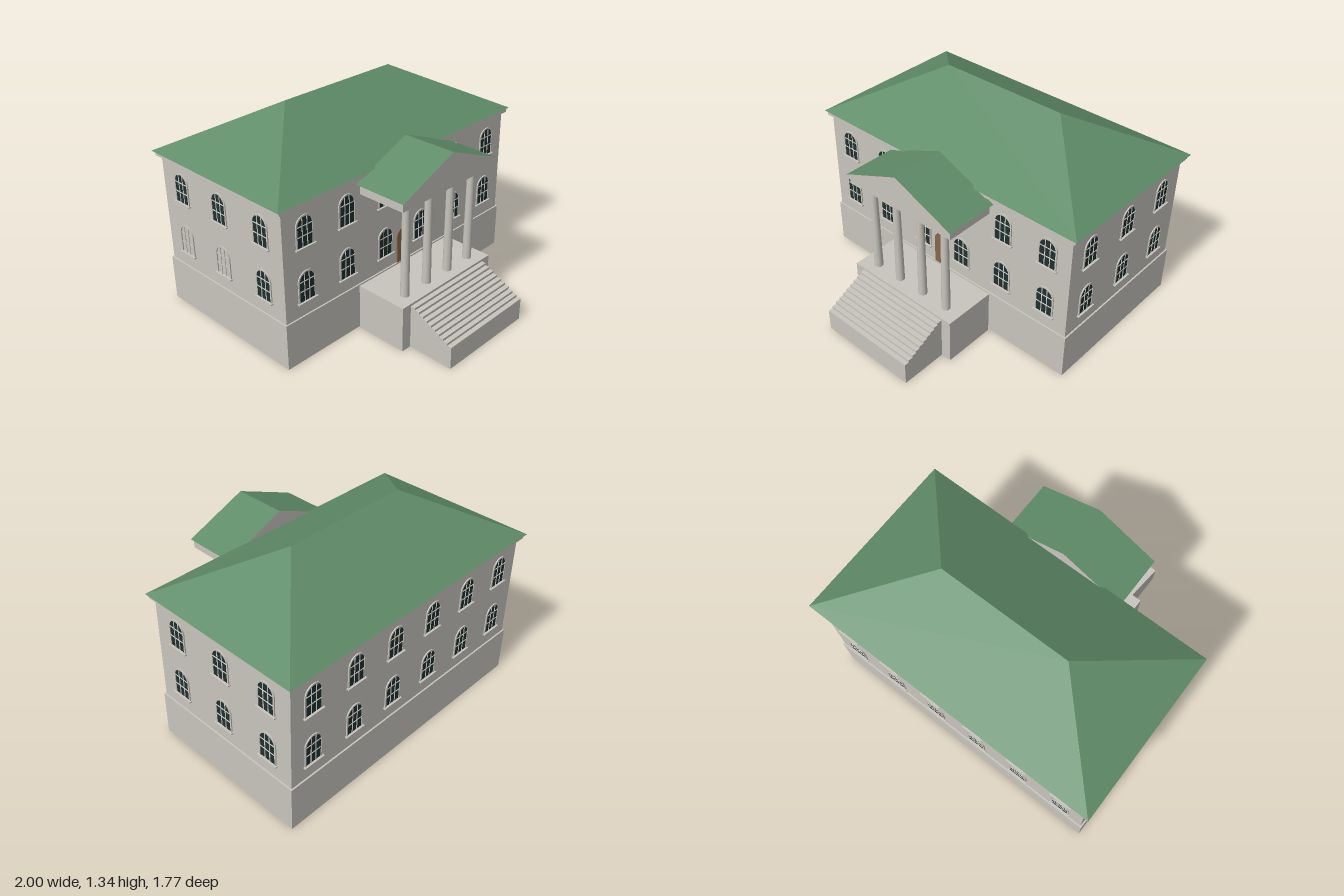
import * as THREE from 'three';
import { ConvexGeometry } from 'three/addons/geometries/ConvexGeometry.js';

const mat = (name, color, side = THREE.FrontSide) => {
  const m = new THREE.MeshStandardMaterial({ color, side });
  m.name = name;
  return m;
};

export function createModel() {
  const model = new THREE.Group();
  model.name = 'porticoHouse';
  const stone = mat('stone', 0xc8c5bd, THREE.DoubleSide);
  const green = mat('greenRoof', 0x5f8c69, THREE.DoubleSide);
  const glass = mat('darkGlass', 0x1f2f2f);
  const bars = mat('paleBars', 0xdad8d0);
  const brown = mat('doorBrown', 0x87664a);

  const add = (name, geo, material, parent = model) => {
    const mesh = new THREE.Mesh(geo, material);
    mesh.name = name;
    parent.add(mesh);
    return mesh;
  };
  // Box given by its half width and its ranges in y and z
  const block = (name, hx, y0, y1, z0, z1, openBottom = false) => {
    const geo = new THREE.BoxGeometry(2 * hx, y1 - y0, z1 - z0);
    if (openBottom) {
      const index = Array.from(geo.index.array);
      index.splice(18, 6);
      geo.setIndex(index);
      geo.clearGroups();
    }
    geo.translate(0, (y0 + y1) / 2, (z0 + z1) / 2);
    return add(name, geo, stone);
  };
  // Round-headed outline standing on y = 0
  const archPath = (r, spring, P = THREE.Shape) => {
    const p = new P();
    p.moveTo(-r, 0);
    p.lineTo(r, 0);
    p.lineTo(r, spring);
    p.absarc(0, spring, r, 0, Math.PI, false);
    p.lineTo(-r, 0);
    return p;
  };

  // Main building
  block('plinth', 0.97, 0, 0.3, -0.855, 0.225, true);
  block('walls', 0.96, 0.3, 1.0, -0.845, 0.215);
  block('cornice', 0.985, 1.0, 1.03, -0.87, 0.235);

  // Hipped roof
  const roofPoints = [];
  for (const s of [-1, 1]) {
    roofPoints.push(
      new THREE.Vector3(s, 1.028, 0.245),
      new THREE.Vector3(s, 1.028, -0.885),
      new THREE.Vector3(s * 0.435, 1.335, -0.32));
  }
  add('hippedRoof', new ConvexGeometry(roofPoints), green);

  // Windows
  const R = 0.055, SPRING = 0.13;
  const glassGeo = new THREE.ShapeGeometry(archPath(R, SPRING), 10);
  const trimShape = archPath(R + 0.01, SPRING);
  trimShape.holes.push(archPath(R, SPRING, THREE.Path));
  // Surround keeps its legs open at the sill
  trimShape.holes[0].curves.forEach(() => {});
  const trimGeo = new THREE.ExtrudeGeometry(trimShape, { depth: 0.007, bevelEnabled: false, curveSegments: 10 });
  const sillGeo = new THREE.BoxGeometry(0.145, 0.008, 0.018);
  const uprightGeo = new THREE.BoxGeometry(0.005, 0.182, 0.004);
  const crossGeo = new THREE.BoxGeometry(2 * R, 0.005, 0.004);

  const addWindow = (x, y, z, turn, glazed = true) => {
    const w = new THREE.Group();
    w.name = 'window';
    w.position.set(x, y, z);
    w.rotation.y = turn;
    if (glazed) add('windowGlass', glassGeo, glass, w).position.z = 0.003;
    add('windowSurround', trimGeo, stone, w);
    add('windowSill', sillGeo, stone, w).position.set(0, -0.004, 0.008);
    const barMaterial = glazed ? bars : stone;
    for (const bx of [-0.018, 0.018]) add('windowUpright', uprightGeo, barMaterial, w).position.set(bx, 0.091, 0.004);
    for (const by of [0.068, 0.13]) add('windowCrossbar', crossGeo, barMaterial, w).position.set(0, by, 0.004);
    model.add(w);
  };
  for (const y of [0.395, 0.743]) {
    for (const s of [-1, 1]) {
      for (const x of [0.16, 0.48, 0.8]) {
        addWindow(s * x, y, 0.215, 0);
        addWindow(s * x, y, -0.845, Math.PI);
      }
      for (const z of [0.04, -0.32, -0.67]) {
        const blind = s < 0 && y < 0.5 && z < 0;
        addWindow(s * 0.96, y, z, s * Math.PI / 2, !blind);
      }
    }
  }

  // Arched door
  add('door', new THREE.ExtrudeGeometry(archPath(0.057, 0.18), { depth: 0.008, bevelEnabled: false, curveSegments: 10 }), brown)
    .position.set(0, 0.3, 0.215);

  // Portico platform and columns
  block('porticoPlatform', 0.403, 0, 0.3, 0.235, 0.58, true);
  const columnGeo = new THREE.CylinderGeometry(0.023, 0.028, 0.62, 20);
  for (const x of [-0.29, -0.097, 0.097, 0.29]) add('column', columnGeo, stone).position.set(x, 0.61, 0.492);
  block('entablature', 0.403, 0.918, 0.976, 0.245, 0.567);

  // Pediment: stone gables with green slopes
  const gable = new THREE.Shape([
    new THREE.Vector2(-0.415, 0.975), new THREE.Vector2(0.415, 0.975), new THREE.Vector2(0, 1.147)]);
  add('pediment', new THREE.ExtrudeGeometry(gable, { depth: 0.355, bevelEnabled: false }), [stone, green])
    .position.z = 0.225;

  // Front steps, extruded from their side profile
  const steps = new THREE.Shape();
  const count = 10, front = 0.885, run = 0.0305;
  steps.moveTo(0.58, 0);
  steps.lineTo(front, 0);
  for (let i = 0; i < count; i++) {
    const h = 0.147 + i * 0.0153;
    steps.lineTo(front - i * run, h);
    steps.lineTo(front - (i + 1) * run, h);
  }
  steps.closePath();
  const stepsGeo = new THREE.ExtrudeGeometry(steps, { depth: 0.67, bevelEnabled: false });
  stepsGeo.rotateY(-Math.PI / 2).translate(0.335, 0, 0);
  add('frontSteps', stepsGeo, stone);

  return model;
}
